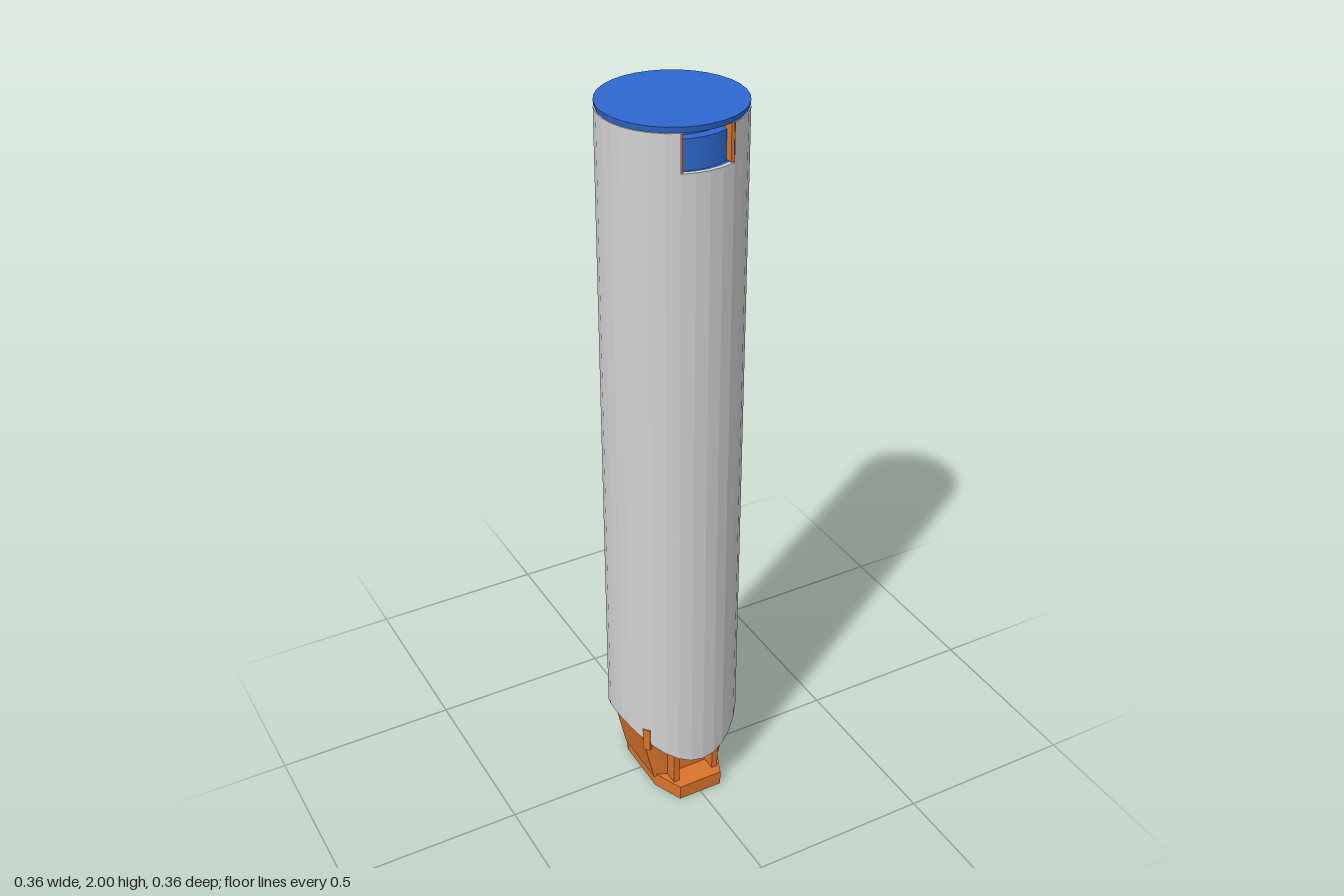
import * as THREE from 'three';

const R = 0.18, INNER = 0.168, SIDES = 32, TOP = 1.985, SILL = 1.89;

// Scalloped lower edge: low at front and back, high at the sides
const hem = (x) => 0.135 + 0.115 * (x / R) ** 2;

const ringPoint = (i, r) => {
  const a = (i / SIDES) * Math.PI * 2;
  return [Math.cos(a) * r, Math.sin(a) * r];
};

// Collects separate quads so every face stays flat
class Faces {
  constructor() { this.p = []; }
  quad(a, b, c, d) { this.p.push(...a, ...b, ...c, ...a, ...c, ...d); }
  build() {
    const g = new THREE.BufferGeometry();
    g.setAttribute('position', new THREE.Float32BufferAttribute(this.p, 3));
    g.computeVertexNormals();
    return g;
  }
}

// Hollow tube with two window notches in its upper edge
function shellGeometry() {
  const f = new Faces();
  const isNotch = (i) => (((i + SIDES) % SIDES) % 16) >= 6 && (((i + SIDES) % SIDES) % 16) <= 9;
  for (let i = 0; i < SIDES; i++) {
    const top = isNotch(i) ? SILL : TOP;
    const [ax, az] = ringPoint(i, R), [bx, bz] = ringPoint(i + 1, R);
    const [cx, cz] = ringPoint(i, INNER), [dx, dz] = ringPoint(i + 1, INNER);
    const ya = hem(ax), yb = hem(bx);
    f.quad([ax, ya, az], [ax, top, az], [bx, top, bz], [bx, yb, bz]);
    f.quad([dx, yb, dz], [dx, top, dz], [cx, top, cz], [cx, ya, cz]);
    f.quad([ax, top, az], [cx, top, cz], [dx, top, dz], [bx, top, bz]);
    f.quad([ax, ya, az], [bx, yb, bz], [dx, yb, dz], [cx, ya, cz]);
    // Window jambs
    if (isNotch(i) && !isNotch(i - 1))
      f.quad([ax, SILL, az], [cx, SILL, cz], [cx, TOP, cz], [ax, TOP, az]);
    if (isNotch(i) && !isNotch(i + 1))
      f.quad([bx, SILL, bz], [bx, TOP, bz], [dx, TOP, dz], [dx, SILL, dz]);
  }
  return f.build();
}

// Saddle-shaped underside that closes the tube
function collarGeometry() {
  const f = new Faces(), rings = 6, r0 = 0.178;
  for (let k = 0; k < rings; k++) {
    for (let i = 0; i < SIDES; i++) {
      const p = (j, m) => {
        const [x, z] = ringPoint(j, (r0 * m) / rings);
        return [x, hem(x) - 0.001, z];
      };
      f.quad(p(i, k), p(i, k + 1), p(i + 1, k + 1), p(i + 1, k));
    }
  }
  return f.build();
}

// Tapered foot with side pads, upright ribs and recesses between them
function footGeometry() {
  const outline = (s) => {
    const q = [[s, 0.085], [s - 0.025, 0.095], [0.07, 0.1], [0.07, 0.14], [0.052, 0.14], [0.052, 0.1]];
    const half = [...q, ...q.slice().reverse().map(([x, z]) => [-x, z])];
    return [...half, ...half.map(([x, z]) => [-x, -z])];
  };
  const f = new Faces(), low = outline(0.105), high = outline(0.145);
  low.forEach(([x, z], i) => {
    const j = (i + 1) % low.length;
    f.quad([x, 0.035, z], [high[i][0], 0.215, high[i][1]],
      [high[j][0], 0.215, high[j][1]], [low[j][0], 0.035, low[j][1]]);
  });
  return f.build();
}

// Eight-sided sole plate
function soleGeometry() {
  const pts = [[0.1, 0.085], [0.065, 0.167], [-0.065, 0.167], [-0.1, 0.085],
    [-0.1, -0.085], [-0.065, -0.167], [0.065, -0.167], [0.1, -0.085]];
  const shape = new THREE.Shape(pts.map(([x, z]) => new THREE.Vector2(x, z)));
  const g = new THREE.ExtrudeGeometry(shape, { depth: 0.043, bevelEnabled: false });
  g.rotateX(-Math.PI / 2);
  return g;
}

export function createModel() {
  const model = new THREE.Group();
  const material = (name, color) => {
    const m = new THREE.MeshStandardMaterial({ color });
    m.name = name;
    return m;
  };
  const grey = material('light grey', 0xd2d2d2);
  const orange = material('orange', 0xd9742b);
  const blue = material('blue', 0x2e68d0);

  const add = (name, geometry, mat, x = 0, y = 0, z = 0) => {
    const mesh = new THREE.Mesh(geometry, mat);
    mesh.name = name;
    mesh.position.set(x, y, z);
    model.add(mesh);
    return mesh;
  };

  add('shell', shellGeometry(), grey);
  add('collar', collarGeometry(), orange);
  add('foot', footGeometry(), orange);
  add('sole', soleGeometry(), orange);

  // Cap and the stepped plug seen through the windows
  add('cap', new THREE.CylinderGeometry(R, 0.177, 0.015, SIDES), blue, 0, 1.9925, 0);
  add('plug', new THREE.CylinderGeometry(0.155, 0.155, 0.08, SIDES), blue, 0, 1.922, 0);
  add('plugNeck', new THREE.CylinderGeometry(0.13, 0.13, 0.03, SIDES), blue, 0, 1.972, 0);
  add('plugFloor', new THREE.CylinderGeometry(0.167, 0.167, 0.006, SIDES), blue, 0, 1.883, 0);

  // Window posts and small clips, repeated half a turn apart
  for (const s of [1, -1]) {
    for (const side of [1, -1]) {
      add('windowPost', new THREE.BoxGeometry(0.008, 0.095, 0.03), orange, side * 0.066, 1.9375, s * 0.148);
    }
    const clip = add('clip', new THREE.BoxGeometry(0.02, 0.07, 0.022), orange, s * 0.135, 0.212, -s * 0.108);
    clip.rotation.y = Math.atan2(0.108, 0.135);
  }
  return model;
}
